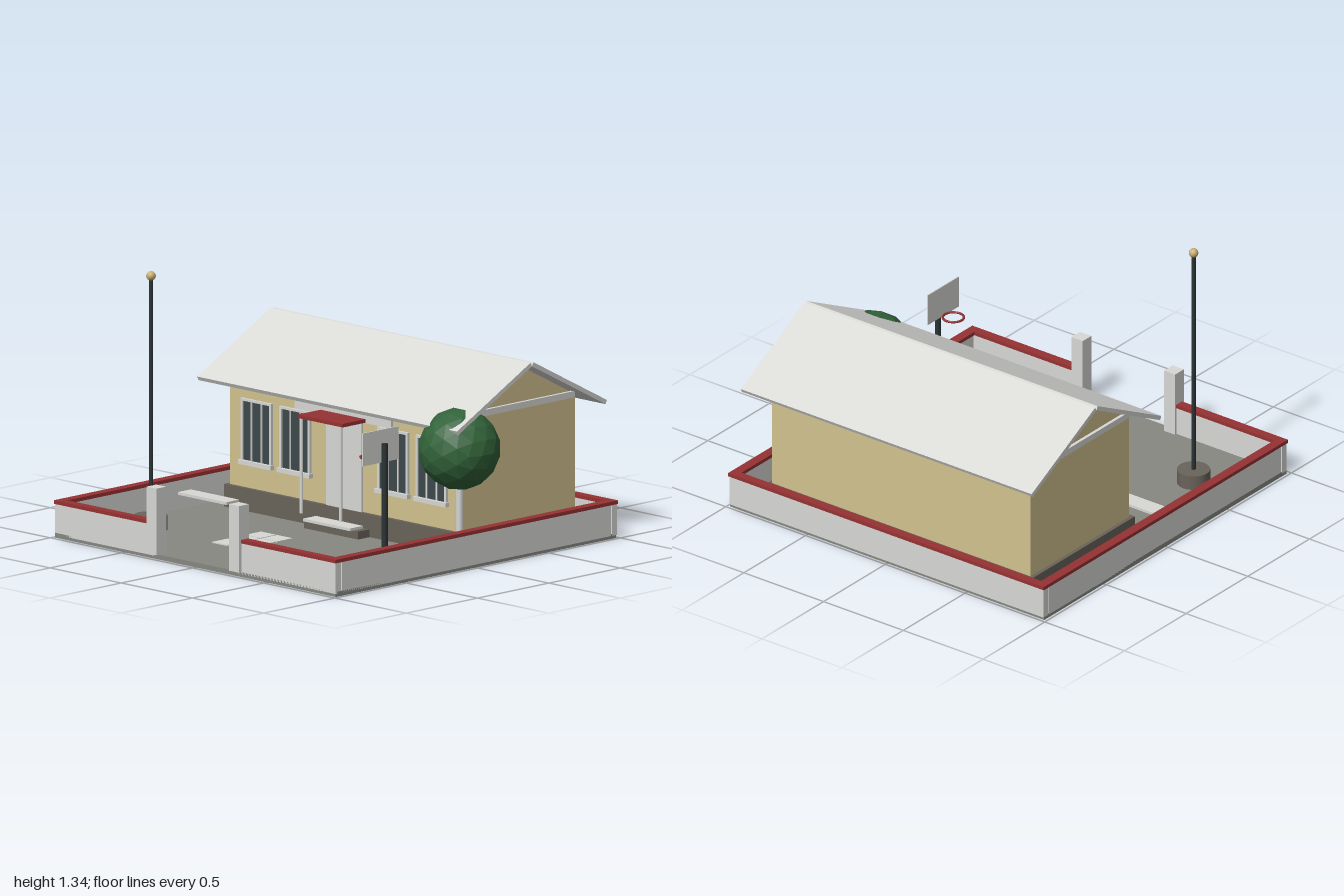
import * as THREE from 'three';

const mat = (name, color) => {
  const m = new THREE.MeshStandardMaterial({ color });
  m.name = name;
  return m;
};

export function createModel() {
  const root = new THREE.Group();
  root.name = 'schoolYard';
  const pale = mat('paleGrey', 0xd8d8d5);
  const tan = mat('tanPlaster', 0xd3c28f);
  const red = mat('brickRed', 0x963233);
  const asphalt = mat('asphalt', 0x878881);
  const stone = mat('darkStone', 0x69645b);
  const glass = mat('windowGlass', 0x3d484a);
  const metal = mat('darkMetal', 0x2b3335);
  const brass = mat('brass', 0xc9b074);
  const leaf = mat('leafGreen', 0x32633a);
  leaf.flatShading = true;

  const add = (name, geo, material, x = 0, y = 0, z = 0, parent = root) => {
    const m = new THREE.Mesh(geo, material);
    m.name = name;
    m.position.set(x, y, z);
    parent.add(m);
    return m;
  };
  // Box given by its minimum and maximum on each axis
  const box = (name, material, x0, x1, y0, y1, z0, z1, parent = root) =>
    add(name, new THREE.BoxGeometry(x1 - x0, y1 - y0, z1 - z0), material,
      (x0 + x1) / 2, (y0 + y1) / 2, (z0 + z1) / 2, parent);
  const rod = (name, material, r, x, y0, y1, z, sides = 12) =>
    add(name, new THREE.CylinderGeometry(r, r, y1 - y0, sides), material, x, (y0 + y1) / 2, z);

  // Yard slab
  box('yardSlab', asphalt, -0.985, 0.985, 0, 0.025, -0.985, 0.98);

  // Boundary walls with red coping
  const wall = (x0, x1, z0, z1) => {
    box('boundaryWall', pale, x0, x1, 0.015, 0.172, z0, z1);
    box('wallCoping', red, x0 - 0.005, x1 + 0.005, 0.172, 0.19, z0 - 0.005, z1 + 0.005);
  };
  wall(-0.985, 0.985, -0.99, -0.955);
  for (const s of [-1, 1]) {
    const a = s * 0.985, b = s * 0.945;
    wall(Math.min(a, b), Math.max(a, b), -0.95, 0.935);
    const c = s * 0.29;
    wall(Math.min(a, c), Math.max(a, c), 0.942, 0.98);
    box('gatePost', pale, c - 0.035, c + 0.035, 0.025, 0.363, 0.93, 1.0);
  }

  // Building: plinth, step and gabled body
  const ridgeZ = -0.47;
  box('plinth', stone, -0.83, 0.83, 0.025, 0.14, -0.89, -0.05);
  box('entranceStep', stone, -0.19, 0.19, 0.025, 0.065, -0.05, 0.03);
  const profile = new THREE.Shape();
  profile.moveTo(-0.4, 0.14);
  profile.lineTo(0.4, 0.14);
  profile.lineTo(0.4, 0.722);
  profile.lineTo(0, 0.932);
  profile.lineTo(-0.4, 0.722);
  const bodyGeo = new THREE.ExtrudeGeometry(profile, { depth: 1.62, bevelEnabled: false });
  bodyGeo.rotateY(Math.PI / 2);
  add('buildingBody', bodyGeo, tan, -0.81, 0, ridgeZ);

  // Roof slabs, lower edges meeting at the ridge
  const angle = Math.atan2(0.27, 0.515);
  for (const s of [-1, 1]) {
    const geo = new THREE.BoxGeometry(1.825, 0.022, 0.582);
    geo.translate(0, 0.011, s * 0.291);
    const slab = add('roofSlab', geo, pale, -0.002, 0.938, ridgeZ);
    slab.rotation.x = s * angle;
    // Gable tie beam on each end
    box('gableBeam', pale, s * 0.817 - 0.01, s * 0.817 + 0.01, 0.71, 0.742, ridgeZ - 0.385, ridgeZ + 0.385);
  }

  // Windows with sill, frame and mullions
  const front = -0.07;
  for (const x of [-0.615, -0.343, 0.343, 0.615]) {
    const w = new THREE.Group();
    w.name = 'window';
    w.position.set(x, 0, front);
    root.add(w);
    box('pane', glass, -0.1, 0.1, 0.28, 0.582, 0, 0.006, w);
    box('sill', pale, -0.115, 0.115, 0.258, 0.28, 0, 0.025, w);
    box('lintel', pale, -0.107, 0.107, 0.58, 0.592, 0, 0.014, w);
    for (const s of [-1, 1]) {
      box('jamb', pale, s * 0.1 - 0.007, s * 0.1 + 0.007, 0.28, 0.582, 0, 0.014, w);
      box('mullion', pale, s * 0.035 - 0.004, s * 0.035 + 0.004, 0.28, 0.582, 0, 0.011, w);
    }
  }

  // Entrance: door, name board, canopy and columns
  box('door', pale, -0.125, 0.125, 0.14, 0.59, front, front + 0.012);
  box('nameBoard', pale, -0.34, 0.335, 0.597, 0.69, front, front + 0.015);
  box('canopy', red, -0.158, 0.157, 0.6, 0.618, front, 0.105);
  for (const s of [-1, 1]) rod('canopyColumn', pale, 0.009, s * 0.138, 0.12, 0.6, 0.1);

  // Bench slabs
  box('bench', pale, -0.94, -0.6, 0.1, 0.114, 0.075, 0.165);
  box('bench', pale, -0.06, 0.27, 0.1, 0.114, 0.075, 0.165);

  // Painted play grid
  for (let i = 0; i < 2; i++) for (let j = 0; j < 3; j++) {
    const x = -0.212 + i * 0.115, z = 0.31 + j * 0.117;
    box('playTile', pale, x - 0.053, x + 0.053, 0.025, 0.031, z - 0.054, z + 0.054);
  }

  // Flagpole
  rod('flagpoleBase', stone, 0.083, -0.705, 0.025, 0.1, 0.588, 20);
  rod('flagpole', metal, 0.011, -0.705, 0.1, 1.3, 0.588);
  add('flagpoleBall', new THREE.SphereGeometry(0.024, 16, 12), brass, -0.705, 1.312, 0.588);

  // Ball hoop
  rod('hoopPole', metal, 0.016, 0.766, 0.025, 0.66, 0.418);
  box('backboard', pale, 0.738, 0.745, 0.56, 0.727, 0.3, 0.55);
  const ring = add('hoopRing', new THREE.TorusGeometry(0.053, 0.006, 8, 24), red, 0.67, 0.577, 0.418);
  ring.rotation.x = Math.PI / 2;

  // Tree
  rod('treeTrunk', pale, 0.02, 0.795, 0.025, 0.42, -0.078, 8);
  add('treeCrown', new THREE.IcosahedronGeometry(0.206, 2), leaf, 0.786, 0.56, -0.085);

  return root;
}
